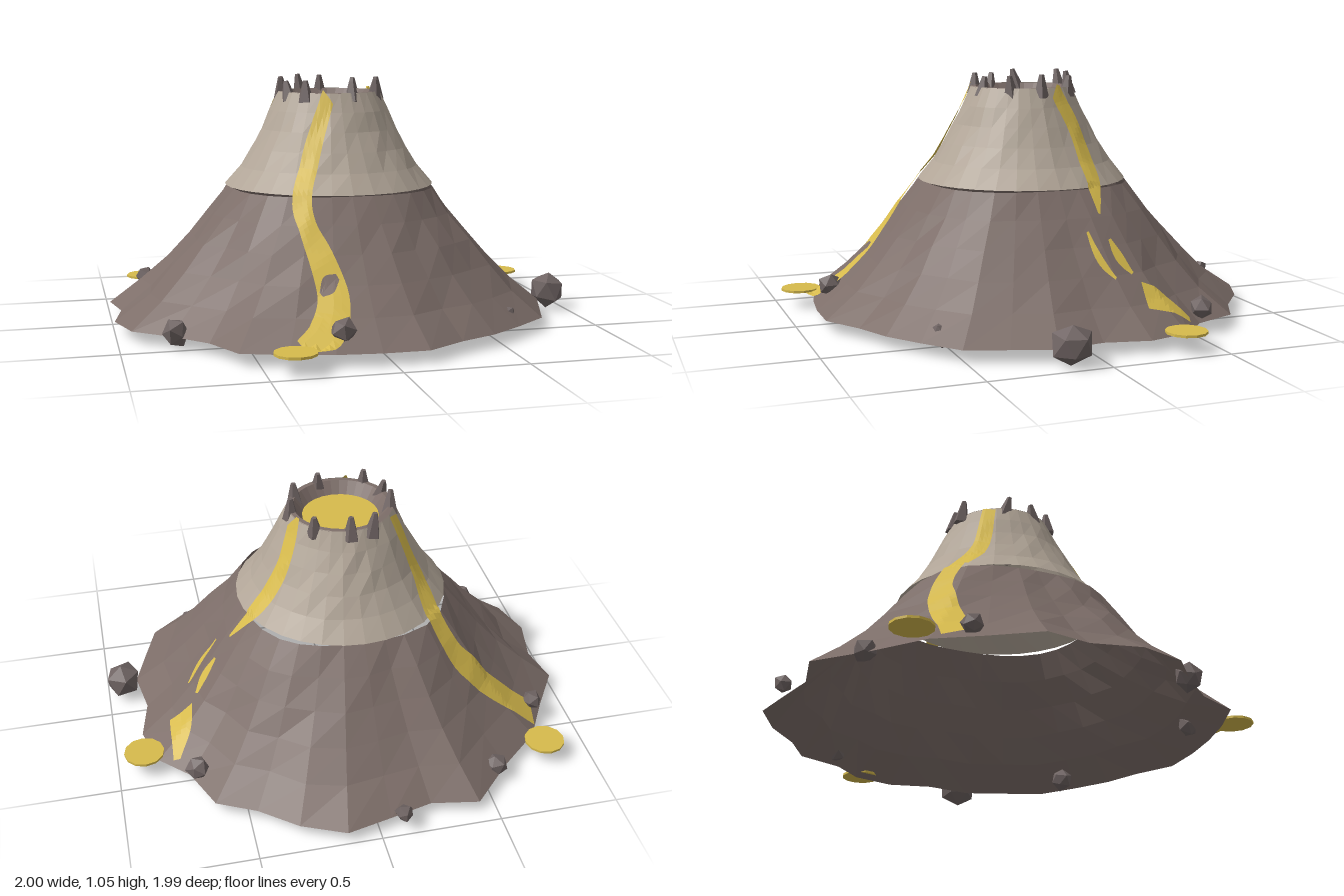
import * as THREE from 'three';

const mat = (name, color) => new THREE.MeshStandardMaterial({ name, color, flatShading: true, side: THREE.DoubleSide });
const CX = -0.045, CZ = -0.025;

// small seeded generator
let seed = 7;
const rnd = () => ((seed = (seed * 16807) % 2147483647) / 2147483647);

// closed skin through rings of points, listed from the bottom up
function loft(rings) {
  const n = rings[0].length, pos = [], idx = [];
  rings.forEach(r => r.forEach(p => pos.push(...p)));
  for (let j = 0; j < rings.length - 1; j++) for (let i = 0; i < n; i++) {
    const a = j * n + i, b = j * n + (i + 1) % n, c = a + n, d = b + n;
    idx.push(a, c, b, b, c, d);
  }
  return surface(pos, idx);
}

function surface(pos, idx) {
  let g = new THREE.BufferGeometry();
  g.setAttribute('position', new THREE.Float32BufferAttribute(pos, 3));
  g.setIndex(idx);
  g = g.toNonIndexed();
  g.computeVertexNormals();
  return g;
}

// ragged foot of the mountain (x, z)
const FOOT = [
  [0.14, -0.99], [0.32, -0.91], [0.47, -0.79], [0.63, -0.71], [0.71, -0.52], [0.83, -0.4],
  [0.88, -0.22], [0.84, -0.03], [0.87, 0.165], [0.81, 0.34], [0.75, 0.51], [0.6, 0.63],
  [0.457, 0.73], [0.3, 0.8], [0.136, 0.9], [-0.05, 0.9], [-0.227, 0.88], [-0.4, 0.84],
  [-0.58, 0.775], [-0.666, 0.6], [-0.8, 0.46], [-0.944, 0.342], [-1, 0.16], [-0.96, -0.04],
  [-0.997, -0.22], [-0.88, -0.41], [-0.78, -0.59], [-0.6, -0.75], [-0.425, -0.935], [-0.227, -0.9],
  [-0.05, -0.945],
];

export function createModel() {
  seed = 7;
  const group = new THREE.Group();
  const slope = mat('slopeBrown', 0x7d6e69), ash = mat('ashTan', 0xb2a698);
  const lava = mat('lavaYellow', 0xd6ba4c), stone = mat('stoneGrey', 0x6f6463);
  const add = (name, geo, m, x = 0, y = 0, z = 0) => {
    const mesh = new THREE.Mesh(geo, m);
    mesh.name = name;
    mesh.position.set(x, y, z);
    group.add(mesh);
    return mesh;
  };
  const angles = FOOT.map(([x, z]) => Math.atan2(z - CZ, x - CX));

  // lower slope: foot outline drawn in to a nearly round top
  const lowerRings = [];
  for (let j = 0; j <= 5; j++) {
    const h = j / 5, f = Math.pow(h, 0.8);
    lowerRings.push(FOOT.map(([x, z], i) => {
      const a = angles[i], r = 0.455 + 0.018 * Math.cos(4 * (a - Math.PI / 4));
      const k = j > 0 && j < 5 ? (rnd() - 0.5) * 0.02 : 0;
      return [
        THREE.MathUtils.lerp(x, CX + r * Math.cos(a), f) + k * Math.cos(a),
        0.06 + 0.527 * h,
        THREE.MathUtils.lerp(z, CZ + r * Math.sin(a), f) + k * Math.sin(a),
      ];
    }));
  }
  const lower = add('lowerSlope', loft(lowerRings), slope);

  // upper cone and crater wall
  const ring = (r, y, wobble = 0) => angles.map(a => {
    const q = r + (rnd() - 0.5) * wobble;
    return [CX + q * Math.cos(a), y, CZ + q * Math.sin(a)];
  });
  const upperRings = [];
  for (let j = 0; j <= 5; j++) {
    const h = j / 5;
    upperRings.push(ring(0.455 - 0.235 * Math.pow(h, 0.77), 0.593 + 0.402 * h, j > 0 && j < 5 ? 0.012 : 0));
  }
  const upper = add('upperCone', loft(upperRings), ash);
  add('craterWall', loft([ring(0.222, 0.993), ring(0.2, 0.995), ring(0.155, 0.935)]), slope);
  add('craterLava', new THREE.CylinderGeometry(0.162, 0.162, 0.008, 24), lava, CX, 0.942, CZ);

  // height of the mountain under a point
  const ray = new THREE.Raycaster(), down = new THREE.Vector3(0, -1, 0);
  const height = (x, z) => {
    ray.set(new THREE.Vector3(x, 3, z), down);
    const hit = ray.intersectObjects([lower, upper])[0];
    const r = Math.hypot(x - CX, z - CZ);
    return hit ? hit.point.y : r > 0.6 ? 0.065 : r < 0.25 ? 0.98 : 0.59;
  };

  // ribbon laid on the slope; points are [x, z, width]
  function drape(name, pts, m, lift = 0.016, steps = 44) {
    const path = new THREE.CatmullRomCurve3(pts.map(p => new THREE.Vector3(p[0], p[2], p[1])));
    const pos = [], idx = [], across = 4;
    for (let i = 0; i <= steps; i++) {
      const p = path.getPoint(i / steps), t = path.getTangent(i / steps);
      const len = Math.hypot(t.x, t.z);
      for (let k = 0; k <= across; k++) {
        const s = (k / across - 0.5) * p.y;
        const x = p.x - (t.z / len) * s, z = p.z + (t.x / len) * s;
        pos.push(x, height(x, z) + lift, z);
        if (i < steps && k < across) {
          const a = i * (across + 1) + k, b = a + across + 1;
          idx.push(a, a + 1, b, a + 1, b + 1, b);
        }
      }
    }
    add(name, surface(pos, idx), m);
  }

  group.updateMatrixWorld(true);
  drape('backLavaFlow', [[-0.24, -0.15, 0.06], [-0.335, -0.23, 0.075], [-0.38, -0.36, 0.085],
    [-0.46, -0.44, 0.095], [-0.59, -0.465, 0.105], [-0.7, -0.475, 0.11], [-0.81, -0.49, 0.12]], lava);
  drape('frontLavaFlow', [[-0.1, 0.2, 0.05], [-0.19, 0.29, 0.075], [-0.255, 0.4, 0.08],
    [-0.25, 0.48, 0.07], [-0.215, 0.58, 0.1], [-0.195, 0.7, 0.125], [-0.25, 0.81, 0.14], [-0.34, 0.855, 0.1]], lava);
  drape('frontFlowGap', [[-0.24, 0.68, 0.02], [-0.205, 0.66, 0.06], [-0.165, 0.64, 0.02]], slope, 0.024, 8);
  drape('rightLavaFlow', [[0.17, -0.1, 0.06], [0.23, -0.165, 0.075], [0.34, -0.19, 0.075],
    [0.4, -0.185, 0.05], [0.47, -0.175, 0.01]], lava);
  // places where the right flow breaks through
  drape('rightLavaPatch', [[0.52, -0.1, 0.01], [0.6, -0.12, 0.03], [0.66, -0.165, 0.01]], lava, 0.016, 12);
  drape('rightLavaPatch', [[0.54, -0.19, 0.015], [0.59, -0.21, 0.045], [0.635, -0.25, 0.015]], lava, 0.016, 12);
  drape('rightLavaPatch', [[0.71, -0.27, 0.1], [0.72, -0.35, 0.09], [0.755, -0.45, 0.03]], lava, 0.016, 12);

  // pools at the ends of the flows
  for (const [x, z] of [[-0.805, -0.66], [-0.387, 0.905], [0.885, -0.365]])
    add('lavaPool', new THREE.CylinderGeometry(0.085, 0.085, 0.01, 12), lava, x, 0.085, z);

  // jagged stones on the crater rim
  const rim = [[-0.135, -0.235], [-0.04, -0.24], [0.1, -0.185], [0.17, -0.035], [0.13, 0.09],
    [0.01, 0.17], [-0.185, 0.145], [-0.243, 0.05], [-0.248, -0.07]];
  rim.forEach(([x, z], i) => {
    const h = 0.085 + 0.02 * rnd();
    const spike = add('rimStone', new THREE.CylinderGeometry(0.011, 0.036, h, 5), stone, x, 0.955 + h / 2, z);
    spike.rotation.set((rnd() - 0.5) * 0.3, i * 1.3, (rnd() - 0.5) * 0.3);
  });

  // boulders around the foot: x, y, z, radius
  const boulders = [[-0.1, 0.09, -0.96, 0.042], [-0.55, 0.08, -0.76, 0.052], [-0.825, 0.125, -0.44, 0.045],
    [-0.78, 0.075, 0.465, 0.06], [-0.185, 0.135, 0.81, 0.056], [0.93, 0.095, 0.14, 0.088],
    [0.68, 0.115, -0.545, 0.055], [0.57, 0.085, 0.54, 0.058]];
  boulders.forEach(([x, y, z, r], i) => {
    const g = new THREE.IcosahedronGeometry(r, 0), p = g.attributes.position, seen = {};
    for (let k = 0; k < p.count; k++) {
      const key = [p.getX(k), p.getY(k), p.getZ(k)].map(v => Math.round(v * 1e4)).join();
      const s = (seen[key] ??= 0.78 + 0.3 * rnd());
      p.setXYZ(k, p.getX(k) * s, p.getY(k) * s, p.getZ(k) * s);
    }
    g.computeVertexNormals();
    add('boulder', g, stone, x, y, z).rotation.set(i, i * 2.1, i * 0.7);
  });
  return group;
}
